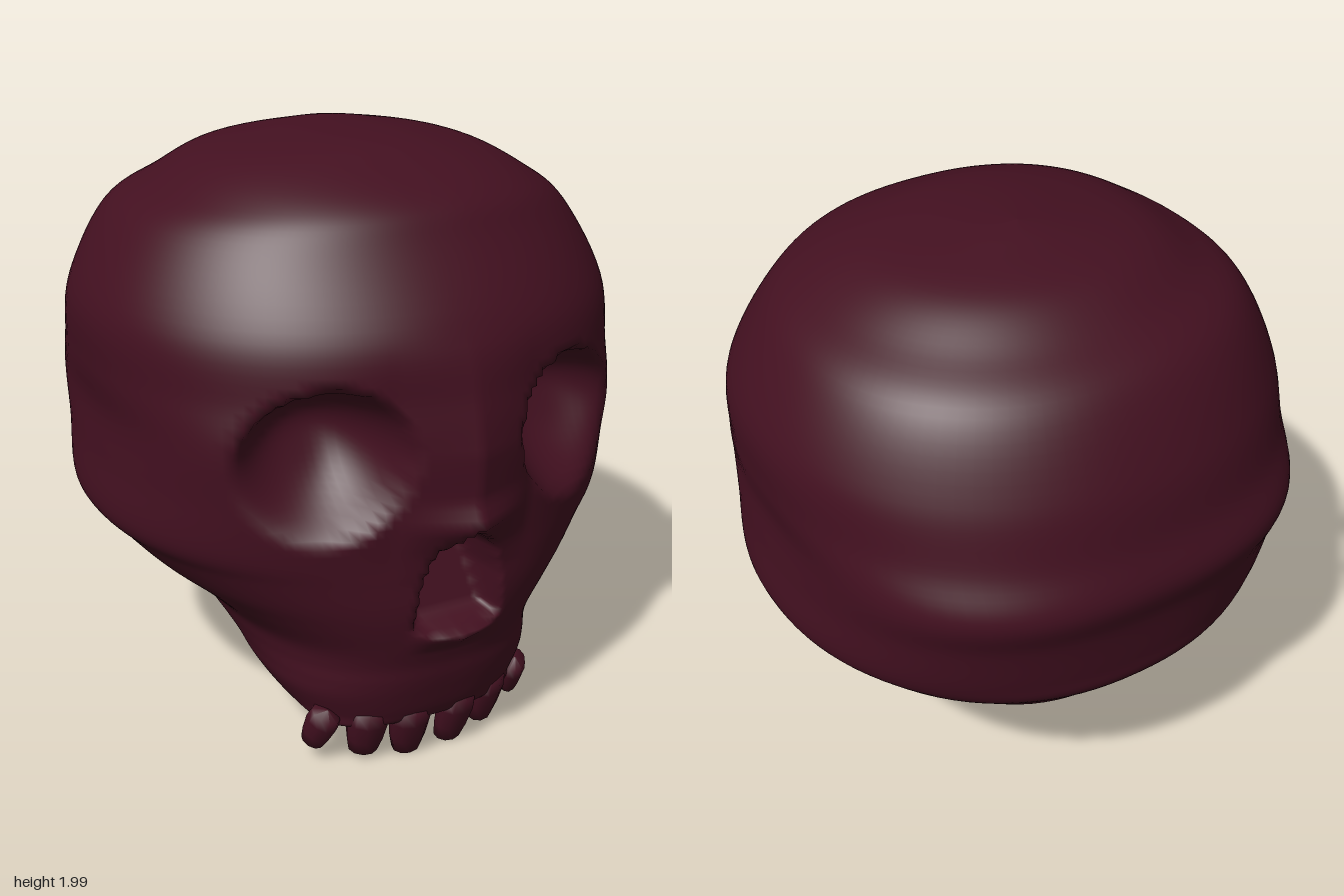
import * as THREE from 'three';

const material = new THREE.MeshStandardMaterial({ color: 0x431020 });

// Horizontal sections of the skull: y, half width, front z, back z, squareness
const SECTIONS = [
  [2.0, 0, -0.1, -0.1, 2.2],
  [1.98, 0.2, 0.25, -0.22, 2.2],
  [1.93, 0.44, 0.42, -0.42, 2.25],
  [1.84, 0.61, 0.6, -0.57, 2.25],
  [1.73, 0.76, 0.69, -0.73, 2.2],
  [1.5, 0.885, 0.84, -0.86, 2.1],
  [1.3, 0.89, 0.86, -0.91, 2.25],
  [1.15, 0.87, 0.86, -0.95, 2.55],
  [1.0, 0.88, 0.85, -0.91, 2.4],
  [0.82, 0.895, 0.84, -0.88, 2.2],
  [0.73, 0.825, 0.84, -0.86, 2.2],
  [0.64, 0.74, 0.84, -0.78, 2.2],
  [0.56, 0.64, 0.83, -0.71, 2.3],
  [0.47, 0.545, 0.81, -0.62, 2.4],
  [0.4, 0.505, 0.79, -0.41, 2.4],
  [0.34, 0.48, 0.78, -0.2, 2.4],
  [0.28, 0.46, 0.765, -0.07, 2.4],
  [0.2, 0.41, 0.74, 0.07, 2.4],
  [0.155, 0.36, 0.71, 0.33, 2.4],
  [0.14, 0.28, 0.64, 0.43, 2.2],
  [0.14, 0, 0.55, 0.55, 2],
];

// Height of the nasal ridge: y, forward offset
const RIDGE = [[0.72, 0], [0.82, 0.04], [0.92, 0.115], [1.0, 0.075], [1.15, 0.07], [1.3, 0.04], [1.5, 0]];
// Half width of the nose opening: y, half width
const NOSE = [[0.51, 0], [0.54, 0.17], [0.7, 0.145], [0.81, 0.11], [0.9, 0]];

const { lerp, clamp, smoothstep } = THREE.MathUtils;

function table(rows, y) {
  for (let i = 1; i < rows.length; i++) {
    const [y0, v0] = rows[i - 1], [y1, v1] = rows[i];
    if (y >= y0 && y <= y1) return lerp(v0, v1, (y - y0) / (y1 - y0));
  }
  return 0;
}

// Smooth interpolation between the sections
function section(t) {
  const last = SECTIONS.length - 1;
  const i = Math.min(Math.floor(t), last - 1), f = t - i;
  const row = k => SECTIONS[clamp(k, 0, last)];
  return row(0).map((_, c) => {
    const a = row(i - 1)[c], b = row(i)[c], d = row(i + 1)[c], e = row(i + 2)[c];
    const m0 = (d - a) / 2, m1 = (e - b) / 2;
    return b + f * (m0 + f * (3 * (d - b) - 2 * m0 - m1 + f * (2 * (b - d) + m0 + m1)));
  });
}

// Nasal ridge, eye sockets and nose opening, applied along z on the face
function sculptFace(x, y, z) {
  const ax = Math.abs(x);
  z += table(RIDGE, y) * Math.max(0, 1 - ax / 0.24);
  z += 0.05 * Math.max(0, 1 - ax / 0.18) * Math.max(0, 1 - Math.abs(y - 0.515) / 0.06);

  // Sockets are deepest under the brow and rise towards the cheek
  const tilt = (y - 1.12) * 0.14;
  const r = Math.hypot((ax - 0.44 + tilt) / 0.25, (y - 1.12) / 0.245);
  if (r < 1) z = lerp(z, Math.min(z, 0.56 + (1.12 - y) * 0.4), 1 - Math.pow(r, 3.2));

  // Nose opening, with a floor that slopes forwards
  const half = table(NOSE, y);
  if (ax < half) {
    const edge = smoothstep(half - ax, 0, 0.05) * smoothstep(y, 0.51, 0.57);
    z = lerp(z, 0.64 + (0.85 - y) * 0.35, edge);
  }
  return z;
}

function skullGeometry() {
  const segments = 144, perSection = 7;
  const rings = (SECTIONS.length - 1) * perSection;
  const position = [], index = [];
  for (let i = 0; i <= rings; i++) {
    const [y, w, front, back, power] = section(i / perSection);
    const centre = (front + back) / 2, depth = (front - back) / 2;
    for (let j = 0; j < segments; j++) {
      const phi = (j / segments) * Math.PI * 2;
      const a = phi - 0.45 * Math.sin(phi); // closer columns on the face
      const s = Math.sin(a), c = Math.cos(a);
      const r = Math.pow(Math.abs(s) ** power + Math.abs(c) ** power, -1 / power);
      const x = w * r * s;
      let z = centre + depth * r * c;
      if (c > 0 && z > 0.4) z = sculptFace(x, y, z);
      position.push(x, y, z);
      if (i < rings) {
        const k = (j + 1) % segments, p = i * segments, q = p + segments;
        index.push(p + j, q + j, q + k, p + j, q + k, p + k);
      }
    }
  }
  const geometry = new THREE.BufferGeometry();
  geometry.setAttribute('position', new THREE.Float32BufferAttribute(position, 3));
  geometry.setIndex(index);
  geometry.computeVertexNormals();
  return geometry;
}

// Blunt peg, narrower at the biting end
function toothGeometry(height, radius) {
  const profile = [[0, 0], [0.7, 0.03], [0.88, 0.3], [1, 0.65], [0.9, 0.88], [0, 1]]
    .map(([r, t]) => new THREE.Vector2(r * radius, t * height));
  return new THREE.LatheGeometry(profile, 10).scale(1, 1, 0.75);
}

export function createModel() {
  const group = new THREE.Group();
  group.name = 'skull';

  const skull = new THREE.Mesh(skullGeometry(), material);
  skull.name = 'cranium';
  group.add(skull);

  // Upper teeth: x, base y, z, height, radius, turn, sideways tilt
  const teeth = [
    [0.08, 0.015, 0.645, 0.22, 0.071, 0.1, -0.06],
    [0.228, 0.035, 0.615, 0.21, 0.071, 0.4, -0.02],
    [0.385, 0.075, 0.555, 0.17, 0.056, 0.9, 0.22],
  ];
  teeth.forEach(([x, y, z, height, radius, turn, tilt], n) => {
    for (const side of [1, -1]) {
      const tooth = new THREE.Mesh(toothGeometry(height, radius), material);
      tooth.name = `${side > 0 ? 'left' : 'right'}Tooth${n + 1}`;
      tooth.position.set(side * x, y, z);
      tooth.rotation.set(0.28, side * turn, side * tilt);
      group.add(tooth);
    }
  });
  return group;
}
